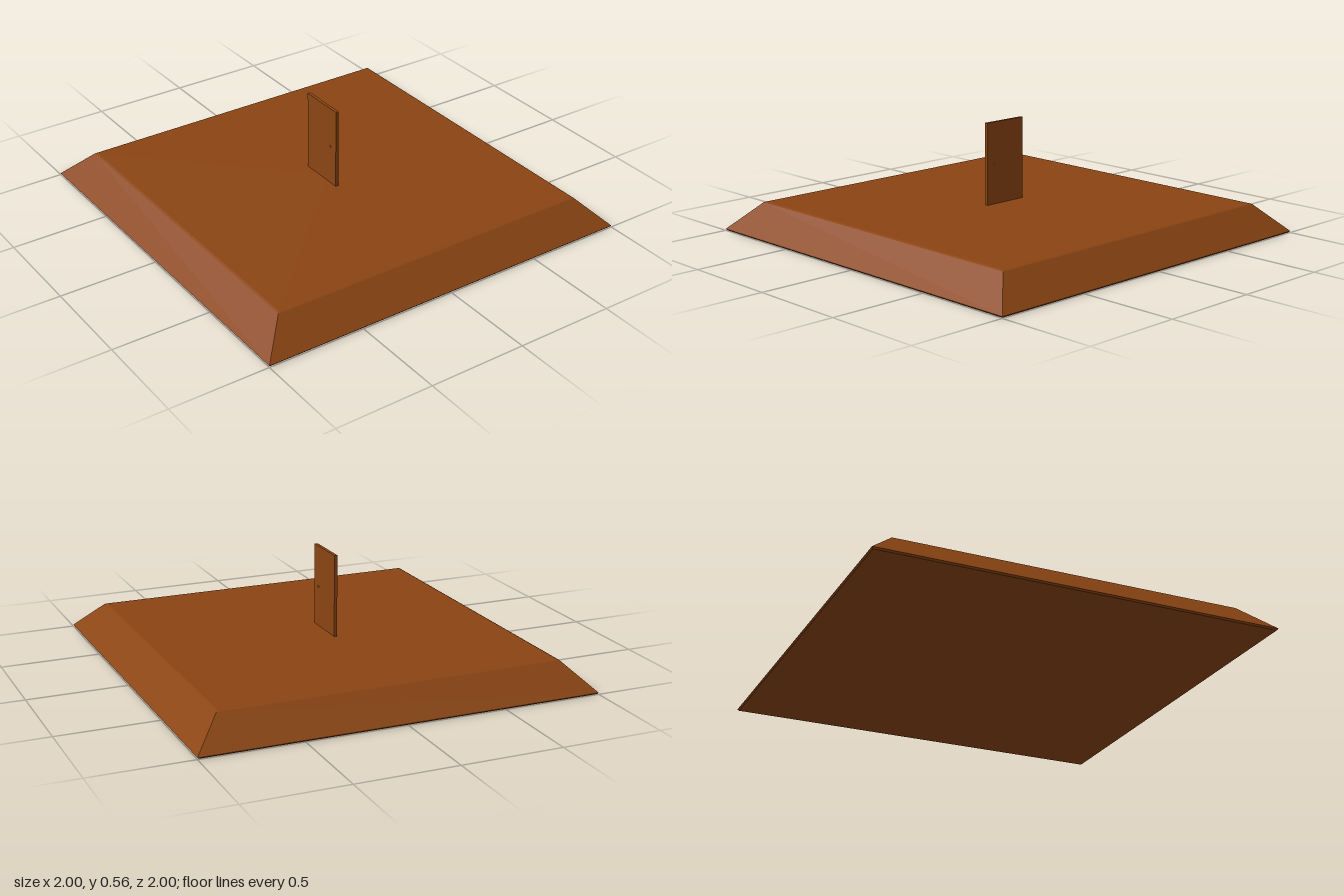
import * as THREE from 'three';

export function createModel() {
  const model = new THREE.Group();
  const brown = new THREE.MeshStandardMaterial({ color: 0x8b4513 });
  brown.name = 'brown';

  const add = (name, geometry, x, y, z) => {
    const mesh = new THREE.Mesh(geometry, brown);
    mesh.name = name;
    mesh.position.set(x, y, z);
    model.add(mesh);
    return mesh;
  };

  // Square plinth: half-width and height of each level, with softened rims
  const profile = [[0, 0], [0.993, 0], [1, 0.008], [0.862, 0.146], [0.852, 0.15], [0, 0.15]]
    .map(([half, y]) => new THREE.Vector2(half * Math.SQRT2, y));
  const plinth = new THREE.LatheGeometry(profile, 4, Math.PI / 4).toNonIndexed();
  plinth.computeVertexNormals();
  add('plinth', plinth, 0, 0, 0);

  // Thin door standing on the plinth
  const doorX = -0.029, thickness = 0.016;
  add('door', new THREE.BoxGeometry(thickness, 0.417, 0.243), doorX, 0.3565, -0.006);

  // Small knob on each face of the door
  for (const side of [-1, 1]) {
    const knob = add('doorKnob', new THREE.SphereGeometry(0.007, 16, 10),
      doorX + side * thickness / 2, 0.355, 0.068);
    knob.scale.x = 0.6;
  }

  return model;
}
